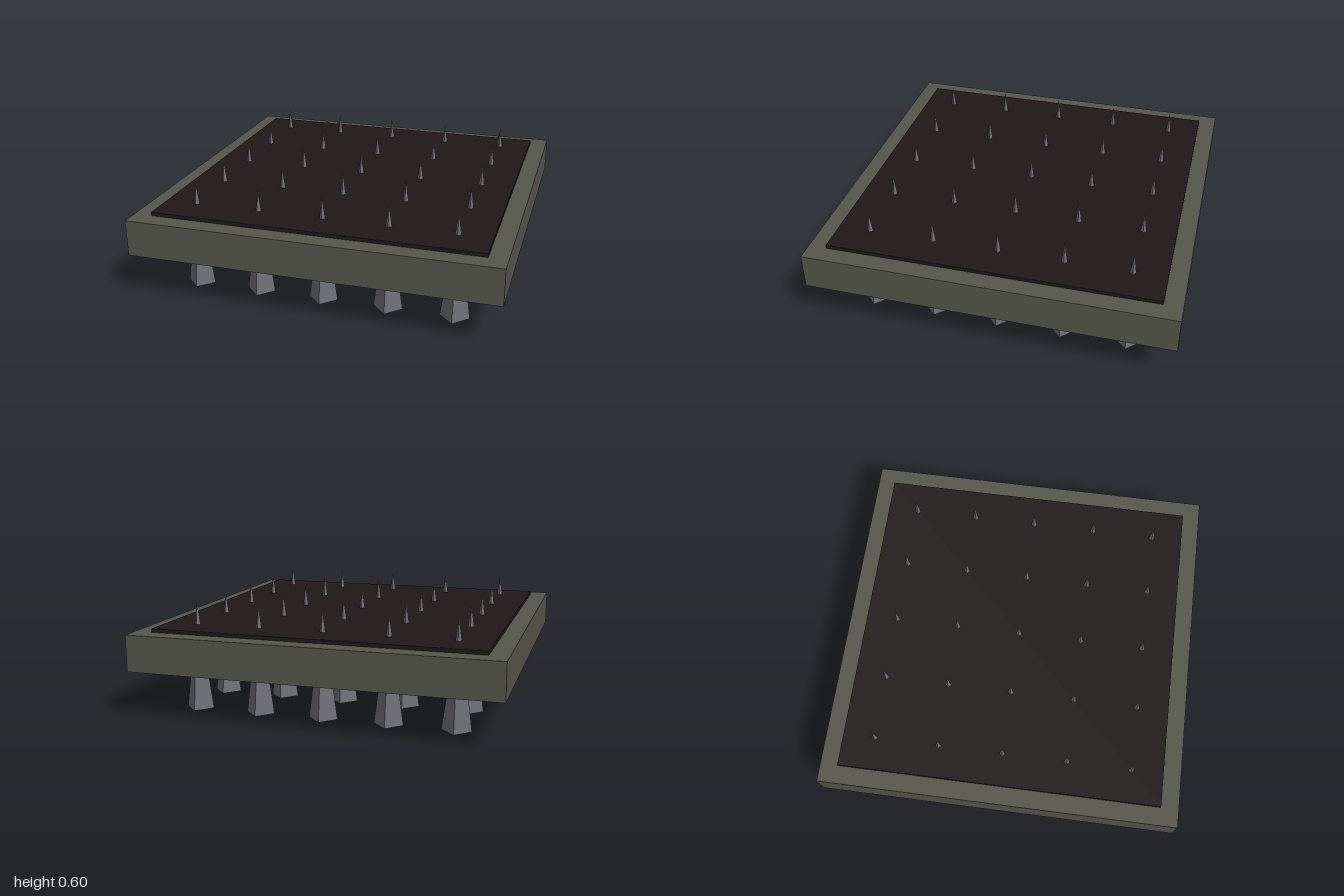
import * as THREE from 'three';

const paint = (color) => new THREE.MeshStandardMaterial({ color, flatShading: true });

export function createModel() {
  const group = new THREE.Group();
  group.name = 'spikeTrap';
  const add = (name, geometry, material, x, y, z) => {
    const mesh = new THREE.Mesh(geometry, material);
    mesh.name = name;
    mesh.position.set(x, y, z);
    group.add(mesh);
  };

  // Stone slab with a thin dark plate on top
  add('slab', new THREE.BoxGeometry(2, 0.2, 2), paint(0x55564c), 0, 0.35, 0);
  add('plate', new THREE.BoxGeometry(1.8, 0.04, 1.8), paint(0x1f1919), 0, 0.45, 0);

  // Four-sided spikes running through the slab in a 5 x 5 grid
  const height = 0.595, spacing = 0.36;
  const spike = new THREE.ConeGeometry(0.08, height, 4);
  const metal = paint(0x6e6e76);
  for (let i = -2; i <= 2; i++) {
    for (let j = -2; j <= 2; j++) {
      add('spike', spike, metal, i * spacing, height / 2, j * spacing);
    }
  }
  return group;
}
